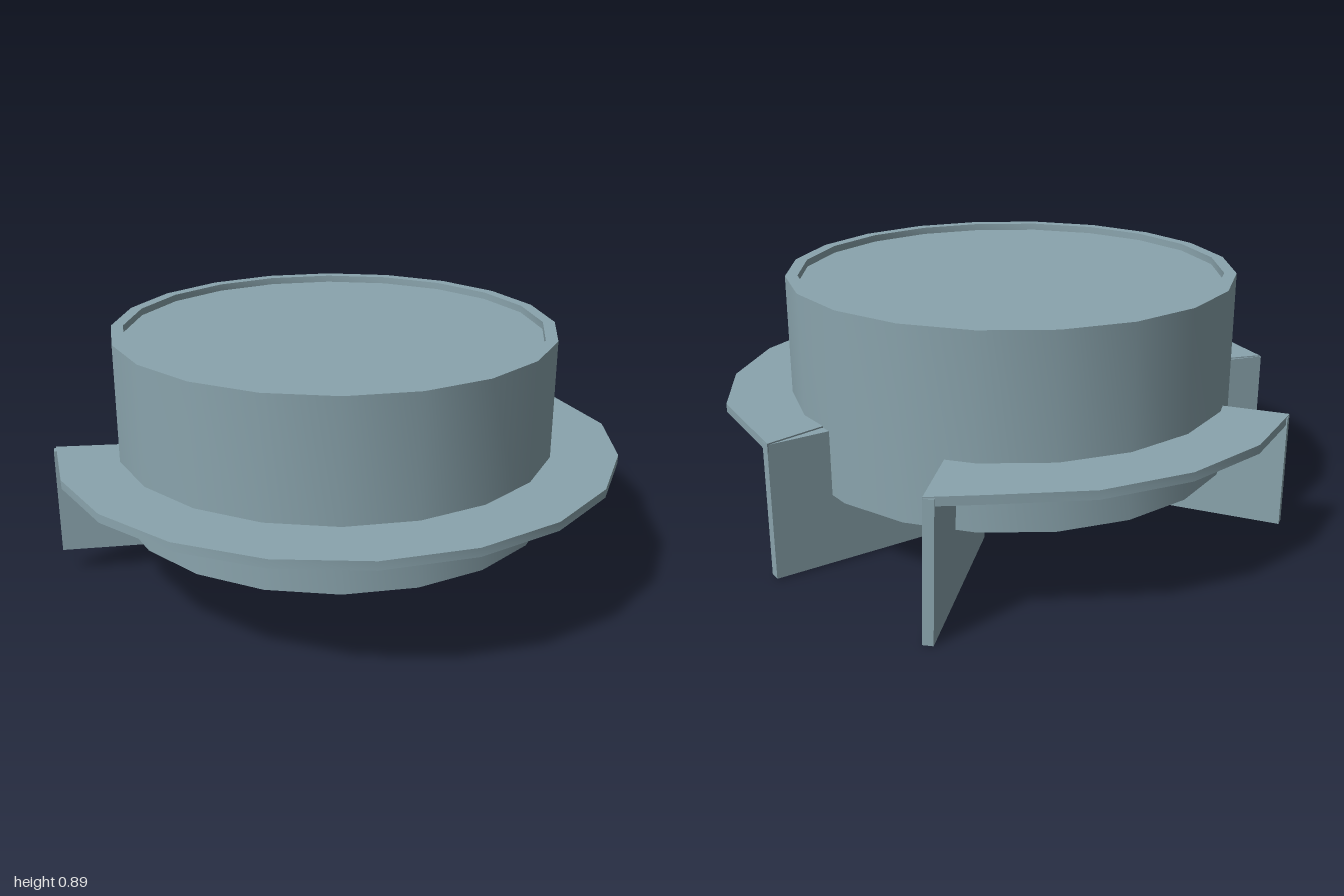
import * as THREE from 'three';
import { toCreasedNormals } from 'three/addons/utils/BufferGeometryUtils.js';

const material = new THREE.MeshStandardMaterial({ color: 0x8aa4ad });
const RAD = Math.PI / 180;
const FLANGE_BOTTOM = 0.45;
const FLANGE_TOP = 0.48;

function addMesh(group, name, geometry) {
  const mesh = new THREE.Mesh(toCreasedNormals(geometry, 0.5), material);
  mesh.name = name;
  group.add(mesh);
}

// Upright prism from a plan outline of [x, z] points
function prism(points, bottom, top) {
  const shape = new THREE.Shape(points.map(([x, z]) => new THREE.Vector2(x, z)));
  const geometry = new THREE.ExtrudeGeometry(shape, { depth: top - bottom, bevelEnabled: false });
  return geometry.rotateX(Math.PI / 2).translate(0, top, 0);
}

// Plan points on a circle, stepping by a given angle in degrees
function arc(radius, start, step, count) {
  return Array.from({ length: count }, (_, i) => {
    const a = (start + i * step) * RAD;
    return [radius * Math.cos(a), radius * Math.sin(a)];
  });
}

// Thin upright wall from p to q, thickened to one side, its top set into the flange
function blade([px, pz], [qx, qz], thickness, bottom) {
  const length = Math.hypot(qx - px, qz - pz);
  const ox = (-(qz - pz) / length) * thickness;
  const oz = ((qx - px) / length) * thickness;
  const plan = [[px, pz], [qx, qz], [qx + ox, qz + oz], [px + ox, pz + oz]];
  return prism(plan, bottom, FLANGE_TOP - 0.005);
}

export function createModel() {
  const group = new THREE.Group();
  group.name = 'flangedCap';

  // Drum: raised rim and shallow recess on top, open cavity below
  const profile = [
    [0, 0.45], [0.735, 0.45], [0.735, 0.25], [0.777, 0.25],
    [0.777, 0.895], [0.735, 0.895], [0.735, 0.87], [0, 0.87],
  ].map(([r, y]) => new THREE.Vector2(r, y));
  addMesh(group, 'drum', new THREE.LatheGeometry(profile, 20).translate(0.004, 0, -0.009));

  // Flange in two sectors, with gaps between them
  const frontOuter = [[0.957, -0.195], ...arc(0.996, 12.6, 18.08, 11)];
  const frontInner = arc(0.755, 193.4, -18.5, 12);
  addMesh(group, 'frontFlange',
    prism([...frontOuter, ...frontInner], FLANGE_BOTTOM, FLANGE_TOP).translate(0.008, 0, 0.004));

  const backOuter = [[0.70, -0.775], ...arc(1.002, -58.2, -18, 4), [-0.64, -0.765]];
  const backInner = arc(0.755, -129.5, 16.6, 6);
  addMesh(group, 'backFlange', prism([...backOuter, ...backInner], FLANGE_BOTTOM, FLANGE_TOP));

  // Blades run inward beneath the drum from each sector end; one leans slightly
  const lean = new THREE.Matrix4().makeShear(0, 0, -0.02, -0.02, 0, 0).setPosition(0.0096, 0, 0.0096);
  addMesh(group, 'leftFrontBlade', blade([0.965, -0.19], [0.365, -0.135], -0.038, 0.005));
  addMesh(group, 'leftBackBlade', blade([0.70, -0.775], [0.25, -0.225], 0.035, 0).applyMatrix4(lean));
  addMesh(group, 'rightFrontBlade', blade([-0.967, -0.23], [-0.335, -0.113], 0.035, 0.09));
  addMesh(group, 'rightBackBlade', blade([-0.64, -0.765], [-0.252, -0.28], -0.035, 0.09));

  return group;
}
